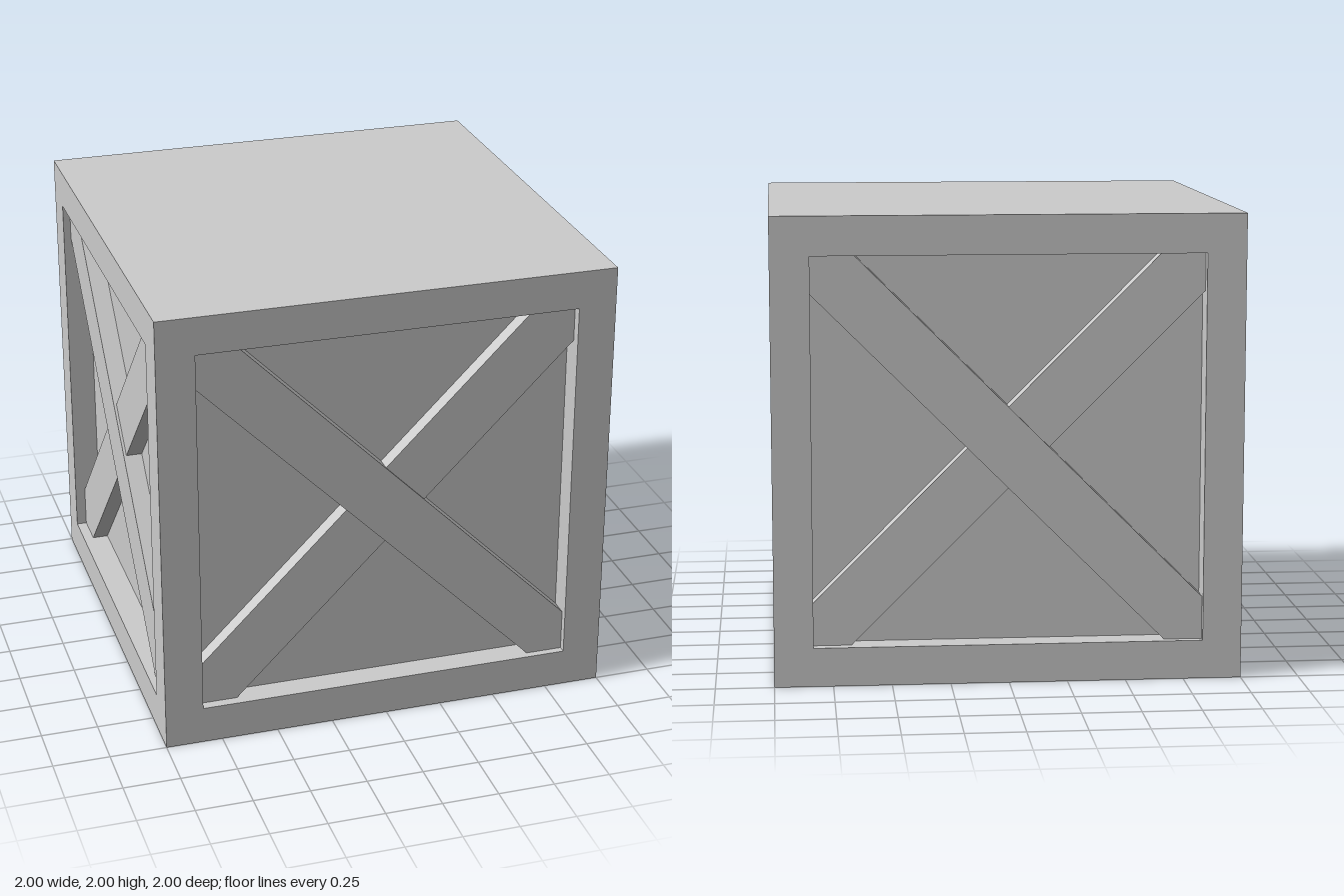
import * as THREE from 'three';
import { mergeGeometries } from 'three/addons/utils/BufferGeometryUtils.js';

const OPEN = 0.833;          // half size of each side opening
const PANEL_DEPTH = 0.115;   // how far the panel sits behind the frame
const material = new THREE.MeshStandardMaterial({ color: 0xcccccc, flatShading: true });

function mesh(name, geometry) {
  const m = new THREE.Mesh(geometry, material);
  m.name = name;
  return m;
}

// Square face with the opening cut out, facing +z
function frameFace() {
  const shape = new THREE.Shape([[-1, -1], [1, -1], [1, 1], [-1, 1]].map(p => new THREE.Vector2(...p)));
  shape.holes.push(new THREE.Path(
    [[-OPEN, -OPEN], [-OPEN, OPEN], [OPEN, OPEN], [OPEN, -OPEN]].map(p => new THREE.Vector2(...p))));
  return new THREE.ShapeGeometry(shape).translate(0, 0, 1);
}

// Four inner walls of the opening, each facing its middle
function openingWalls() {
  const walls = [];
  for (let i = 0; i < 4; i++) {
    walls.push(new THREE.PlaneGeometry(2 * OPEN, PANEL_DEPTH)
      .rotateX(-Math.PI / 2)
      .translate(0, -OPEN, 1 - PANEL_DEPTH / 2)
      .rotateZ(i * Math.PI / 2));
  }
  return walls;
}

// Diagonal plank with pointed ends that fill two corners; dir 1 rises to the right, -1 falls
function brace(name, dir, recess) {
  const low = OPEN - 0.163, high = OPEN - 0.185;
  const points = [
    [-OPEN, -OPEN], [-low, -OPEN], [OPEN, low],
    [OPEN, OPEN], [high, OPEN], [-OPEN, -high],
  ].map(([x, y]) => new THREE.Vector2(x * dir, y));
  const geometry = new THREE.ExtrudeGeometry(new THREE.Shape(points), {
    depth: PANEL_DEPTH - recess, bevelEnabled: false,
  });
  return mesh(name, geometry.translate(0, 0, 1 - PANEL_DEPTH));
}

export function createModel() {
  const crate = new THREE.Group();
  crate.name = 'crate';

  // Four identical sides: frame, recessed panel and crossed braces
  for (let i = 0; i < 4; i++) {
    const side = new THREE.Group();
    side.name = ['front', 'left', 'back', 'right'][i] + 'Side';
    side.add(
      mesh('frame', mergeGeometries([frameFace(), ...openingWalls()])),
      mesh('panel', new THREE.PlaneGeometry(2 * OPEN, 2 * OPEN).translate(0, 0, 1 - PANEL_DEPTH)),
      brace('outerBrace', -1, 0.033),
      brace('innerBrace', 1, 0.045),
    );
    side.position.y = 1;
    side.rotation.y = i * Math.PI / 2;
    crate.add(side);
  }

  // Plain lid and base
  crate.add(
    mesh('lid', new THREE.PlaneGeometry(2, 2).rotateX(-Math.PI / 2).translate(0, 2, 0)),
    mesh('base', new THREE.PlaneGeometry(2, 2).rotateX(Math.PI / 2)),
  );
  return crate;
}
